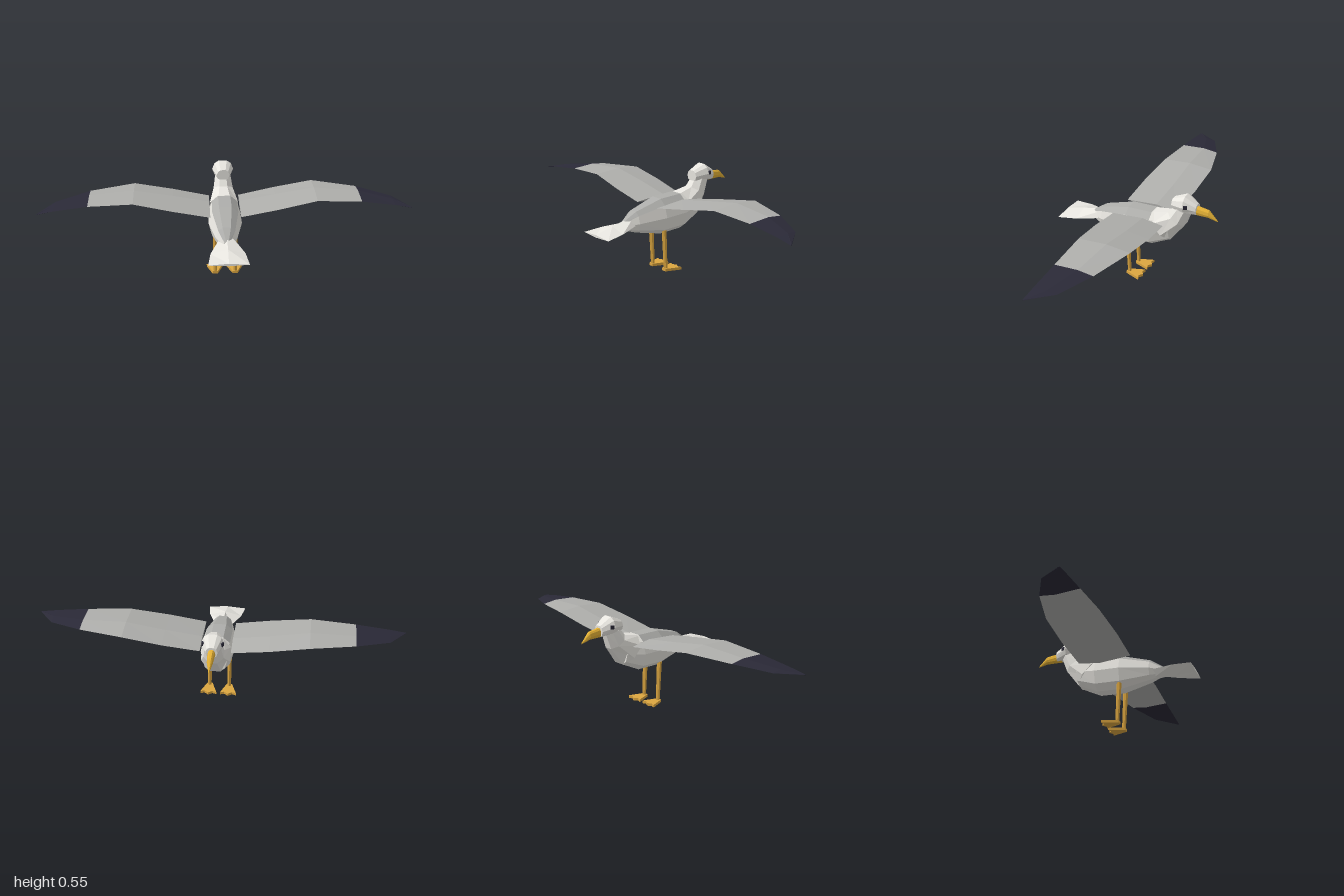
import * as THREE from 'three';

const mat = (name, color) => {
  const m = new THREE.MeshStandardMaterial({ color });
  m.name = name;
  return m;
};

// Closed, faceted skin through rings of [x, y, z]; pick(i, j) chooses a material index
function loft(rings, pick = () => 0) {
  const n = rings[0].length, tris = [];
  for (let i = 0; i < rings.length - 1; i++) {
    for (let j = 0; j < n; j++) {
      const k = (j + 1) % n, a = rings[i], b = rings[i + 1], m = pick(i, j);
      tris.push([a[j], a[k], b[k], m], [a[j], b[k], b[j], m]);
    }
  }
  const last = rings[rings.length - 1];
  for (let j = 1; j < n - 1; j++) {
    tris.push([rings[0][0], rings[0][j + 1], rings[0][j], 0], [last[0], last[j], last[j + 1], 0]);
  }
  // make every face point outward
  const v = (p) => new THREE.Vector3(...p);
  let volume = 0;
  for (const [a, b, c] of tris) volume += v(a).dot(v(b).cross(v(c)));
  const pos = [], geo = new THREE.BufferGeometry();
  tris.forEach(([a, b, c, m], t) => {
    pos.push(...a, ...(volume > 0 ? b : c), ...(volume > 0 ? c : b));
    geo.addGroup(t * 3, 3, m);
  });
  geo.setAttribute('position', new THREE.Float32BufferAttribute(pos, 3));
  geo.computeVertexNormals();
  return geo;
}

// Ten-sided section across z: half profile as [width, height] fractions
const HALF = [[0.35, -1], [0.8, -0.7], [1, 0], [0.78, 0.68], [0.38, 1]];
function section(z, bottom, mid, top, w) {
  const side = HALF.map(([u, h]) => [u * w, mid + h * (h < 0 ? mid - bottom : top - mid), z]);
  return [...side, ...side.slice().reverse().map(([x, y]) => [-x, y, z])];
}

export function createModel() {
  const white = mat('white plumage', 0xeeece6);
  const grey = mat('grey plumage', 0xaeaeab);
  const black = mat('black feathers', 0x2a2937);
  const yellow = mat('yellow beak', 0xe4b135);
  const orange = mat('ochre legs', 0xdca640);

  const model = new THREE.Group();
  model.name = 'bird';
  const add = (name, geo, material, parent = model) => {
    const mesh = new THREE.Mesh(geo, material);
    mesh.name = name;
    parent.add(mesh);
    return mesh;
  };

  // Body with a grey back
  add('body', loft([
    section(-0.2, 0.268, 0.335, 0.4, 0.065),
    section(-0.09, 0.215, 0.315, 0.41, 0.088),
    section(0.05, 0.21, 0.31, 0.405, 0.09),
    section(0.21, 0.245, 0.3, 0.36, 0.057),
    section(0.28, 0.268, 0.29, 0.315, 0.02),
  ], (i, j) => (i > 0 && j >= 3 && j <= 5 ? 1 : 0)), [white, grey]);

  // Neck: slanted eight-sided rings from throat [z, y] to nape [z, y]
  const neckRing = ([fz, fy], [bz, by], w) => Array.from({ length: 8 }, (_, k) => {
    const a = (k + 0.5) * Math.PI / 4, t = (1 - Math.cos(a) / Math.cos(Math.PI / 8)) / 2;
    return [Math.sin(a) * w * 1.08, fy + (by - fy) * t, fz + (bz - fz) * t];
  });
  add('neck', loft([
    neckRing([-0.2, 0.268], [-0.07, 0.405], 0.078),
    neckRing([-0.275, 0.37], [-0.18, 0.428], 0.053),
    neckRing([-0.307, 0.46], [-0.215, 0.475], 0.042),
  ]), white);

  // Head and hooked beak
  add('head', loft([
    section(-0.203, 0.455, 0.485, 0.515, 0.036),
    section(-0.275, 0.452, 0.495, 0.545, 0.059),
    section(-0.34, 0.447, 0.478, 0.506, 0.031),
  ]), white);
  add('beak', loft([
    section(-0.315, 0.445, 0.47, 0.498, 0.022),
    section(-0.405, 0.446, 0.462, 0.486, 0.016),
    section(-0.455, 0.432, 0.434, 0.437, 0.002),
  ]), yellow);

  // Fanned tail: flat diamond sections
  const tailRing = (z, bottom, mid, top, w) => [[0, top, z], [w, mid, z], [0, bottom, z], [-w, mid, z]];
  add('tail', loft([
    tailRing(0.2, 0.25, 0.295, 0.335, 0.035),
    tailRing(0.35, 0.261, 0.28, 0.304, 0.09),
    tailRing(0.455, 0.263, 0.269, 0.277, 0.105),
  ]), white);

  // Wing stations: x, leading z, ridge z, trailing z, y, half thickness
  const stations = [
    [0.082, -0.18, -0.06, 0.117, 0.375, 0.016],
    [0.28, -0.2, -0.07, 0.11, 0.41, 0.014],
    [0.49, -0.203, -0.07, 0.088, 0.447, 0.012],
    [0.73, -0.135, -0.05, 0.08, 0.435, 0.009],
    [0.91, -0.045, 0.01, 0.083, 0.413, 0.006],
    [1.0, 0.08, 0.083, 0.087, 0.397, 0.002],
  ];

  // Webbed foot outline, toes pointing forward along the beak
  const foot = new THREE.Shape([
    [-0.014, -0.045], [0.014, -0.045], [0.045, 0.042], [0.022, 0.034],
    [0, 0.05], [-0.022, 0.034], [-0.045, 0.042],
  ].map(([x, y]) => new THREE.Vector2(x, y)));
  const footGeo = new THREE.ExtrudeGeometry(foot, { depth: 0.015, bevelEnabled: false });
  footGeo.rotateX(-Math.PI / 2);

  for (const s of [1, -1]) {
    const side = s > 0 ? 'left' : 'right';
    const rings = stations.map(([x, l, r, t, y, h]) => [
      [s * x, y, l], [s * x, y + h, r], [s * x, y, t], [s * x, y - h, r],
    ]);
    const wing = new THREE.Group();
    wing.name = side + 'Wing';
    model.add(wing);
    add('wingPanel', loft(rings.slice(0, 4)), grey, wing);
    add('wingTip', loft(rings.slice(3)), black, wing);

    const eye = add(side + 'Eye', new THREE.BoxGeometry(0.009, 0.019, 0.019), black);
    eye.position.set(s * 0.05, 0.498, -0.29);
    eye.rotation.y = s * 0.4;

    // Leg leans slightly back toward the hip
    const leg = new THREE.Group();
    leg.name = side + 'Leg';
    leg.position.x = s * 0.055;
    model.add(leg);
    const shank = add('shank', new THREE.CylinderGeometry(0.014, 0.011, 0.225, 6).toNonIndexed(), orange, leg);
    shank.geometry.computeVertexNormals();
    shank.position.set(0, 0.122, 0.038);
    shank.rotation.x = 0.05;
    add('foot', footGeo, orange, leg);
  }
  return model;
}
